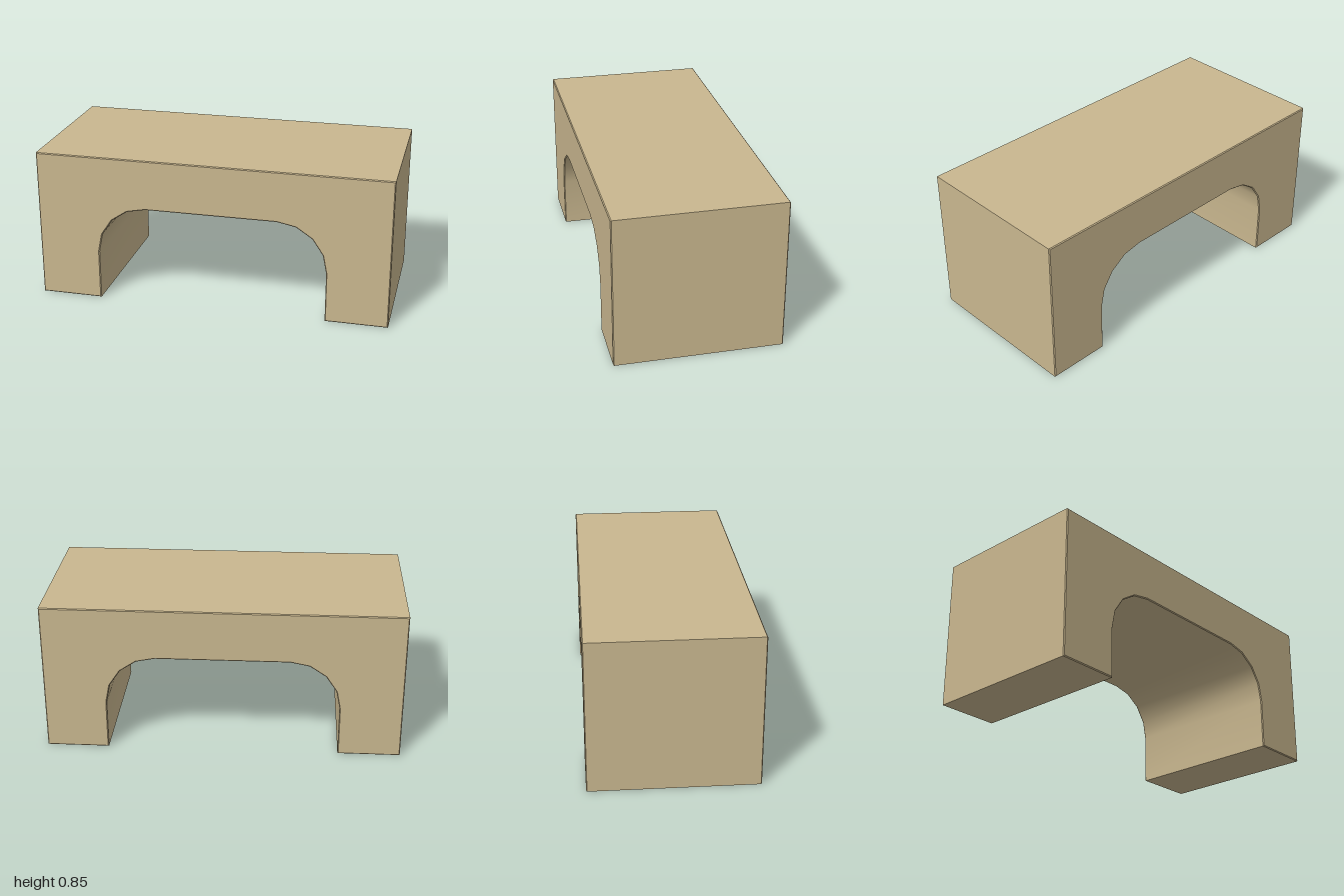
import * as THREE from 'three';
import { toCreasedNormals } from 'three/addons/utils/BufferGeometryUtils.js';

const HALF_WIDTH = 1, HEIGHT = 0.852, DEPTH = 0.926, BEVEL = 0.005;
const OPEN_HALF = 0.65, OPEN_TOP = 0.565, RADIUS = 0.278;

export function createModel() {
  const group = new THREE.Group();
  group.name = 'archBlock';
  const wood = new THREE.MeshStandardMaterial({ color: 0xc9b78f });
  wood.name = 'tan wood';

  // Outline: two legs joined by a top with a round-cornered opening below
  const cx = OPEN_HALF - RADIUS, cy = OPEN_TOP - RADIUS;
  const outline = new THREE.Shape();
  outline.moveTo(-HALF_WIDTH, 0);
  outline.lineTo(-OPEN_HALF, 0);
  outline.lineTo(-OPEN_HALF, cy);
  outline.absarc(-cx, cy, RADIUS, Math.PI, Math.PI / 2, true);
  outline.lineTo(cx, OPEN_TOP);
  outline.absarc(cx, cy, RADIUS, Math.PI / 2, 0, true);
  outline.lineTo(OPEN_HALF, 0);
  outline.lineTo(HALF_WIDTH, 0);
  outline.lineTo(HALF_WIDTH, HEIGHT);
  outline.lineTo(-HALF_WIDTH, HEIGHT);
  outline.closePath();

  // Extrude front to back with a fine bevel around both faces
  const solid = new THREE.ExtrudeGeometry(outline, {
    depth: DEPTH - 2 * BEVEL,
    curveSegments: 2,
    bevelEnabled: true,
    bevelThickness: BEVEL,
    bevelSize: BEVEL,
    bevelOffset: -BEVEL,
    bevelSegments: 1,
  });
  solid.translate(0, 0, -DEPTH / 2 + BEVEL);

  // Smooth inside the rounded opening, sharp everywhere else
  const block = new THREE.Mesh(toCreasedNormals(solid, 0.5), wood);
  block.name = 'archBody';
  group.add(block);
  return group;
}
